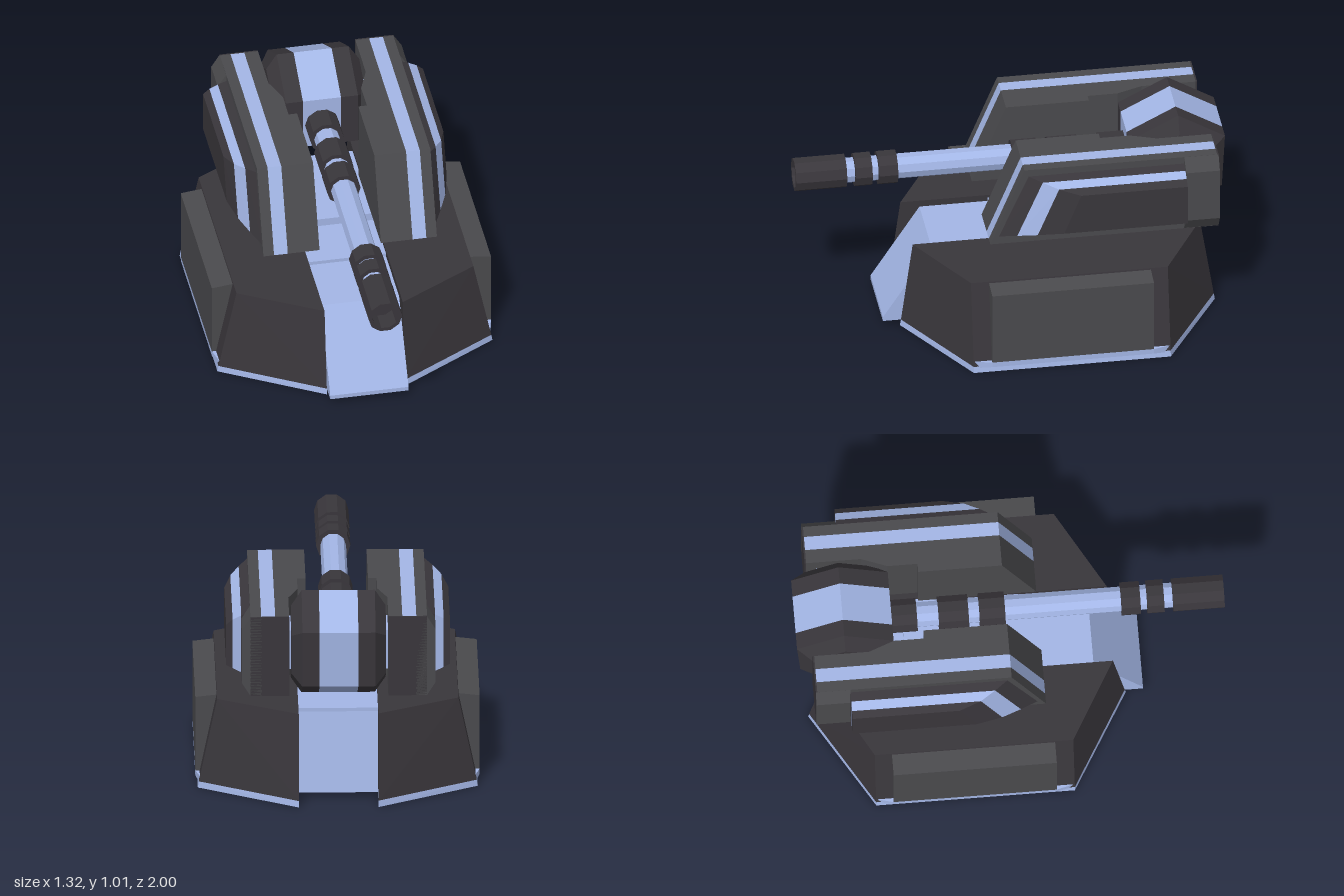
import * as THREE from 'three';
import { ConvexGeometry } from 'three/addons/geometries/ConvexGeometry.js';

const paint = (color) => new THREE.MeshStandardMaterial({ color, flatShading: true });

export function createModel() {
  const model = new THREE.Group();
  const dark = paint(0x39363b), grey = paint(0x4a4a4d), blue = paint(0xa3b6e6);

  const add = (parent, name, geometry, material) => {
    const mesh = new THREE.Mesh(geometry, material);
    mesh.name = name;
    parent.add(mesh);
    return mesh;
  };
  // Solid spanning a set of [x, y, z] corners
  const solid = (parent, name, points, material) =>
    add(parent, name, new ConvexGeometry(points.map((p) => new THREE.Vector3(...p))), material);
  // Side profile of [z, y] placed at a given x
  const at = (x, profile) => profile.map(([z, y]) => [x, y, z]);
  const slab = (parent, name, x0, x1, profile, material) =>
    solid(parent, name, [...at(x0, profile), ...at(x1, profile)], material);
  const box = (y0, y1, z0, z1) => [[z0, y0], [z0, y1], [z1, y1], [z1, y0]];

  // Central spine of the base: front ramp, deck step and turret pad
  const base = new THREE.Group();
  base.name = 'base';
  model.add(base);
  slab(base, 'spine', -0.185, 0.185,
    [[0.61, 0.03], [0.61, 0.05], [0.38, 0.405], [-0.76, 0.405], [-0.83, 0.03]], blue);
  slab(base, 'deckStep', -0.185, 0.185, box(0.38, 0.422, 0.06, -0.76), blue);
  slab(base, 'turretPad', -0.185, 0.185, box(0.4, 0.46, -0.21, -0.49), blue);

  // Outline of one half of the base at a given height
  const baseOutline = (s, y, x, front, back) => [
    [s * 0.185, y, front], [s * x, y, 0.255], [s * x, y, -0.67], [s * 0.185, y, back]];

  // Pod side profile, with the front edge slanting forward to the bottom
  const podProfile = (back) => [[-0.02, 0.935], [0.14, 0.545], [back, 0.545], [back, 0.935]];
  // Stepped outer cover: x, top y, bottom y, front z at top, front z at bottom
  const coverLevels = [
    [0.41, 0.9, 0.585, -0.04, 0.1],
    [0.45, 0.885, 0.605, -0.1, 0.02],
    [0.49, 0.865, 0.625, -0.17, -0.07],
    [0.52, 0.84, 0.64, -0.27, -0.19],
  ];

  for (const [side, s] of [['left', 1], ['right', -1]]) {
    // Armoured half of the base
    solid(base, side + 'BaseTrim',
      [...baseOutline(s, 0, 0.65, 0.53, -0.95), ...baseOutline(s, 0.03, 0.645, 0.525, -0.945)], blue);
    solid(base, side + 'BaseArmour',
      [...baseOutline(s, 0.03, 0.645, 0.525, -0.945), ...baseOutline(s, 0.437, 0.56, 0.47, -0.88)], dark);
    // Raised side plate with its trim
    solid(base, side + 'SidePlate', [
      ...at(s * 0.66, box(0.055, 0.418, 0.17, -0.59)),
      ...at(s * 0.555, box(0.055, 0.43, 0.17, -0.59))], grey);
    solid(base, side + 'SidePlateTrim', [
      ...at(s * 0.66, box(0.03, 0.055, 0.17, -0.59)),
      ...at(s * 0.64, box(0.02, 0.055, 0.25, -0.665))], blue);

    // Pod body in parallel slabs, the inner ones cut short around the drum
    const pod = new THREE.Group();
    pod.name = side + 'Pod';
    model.add(pod);
    slab(pod, 'innerStep', s * 0.145, s * 0.185, podProfile(-0.41), grey);
    solid(pod, 'innerTaper',
      [...at(s * 0.185, podProfile(-0.55)), ...at(s * 0.23, podProfile(-0.67))], grey);
    slab(pod, 'podBody', s * 0.23, s * 0.295, podProfile(-0.925), grey);
    slab(pod, 'podStripe', s * 0.295, s * 0.36, podProfile(-0.925), blue);
    slab(pod, 'podEdge', s * 0.36, s * 0.41, podProfile(-0.925), grey);

    // Back plate and flared rear block
    slab(pod, 'backPlate', s * 0.23, s * 0.41, box(0.545, 0.935, -0.925, -0.932), dark);
    solid(pod, 'rearBlock', [
      ...at(s * 0.36, box(0.546, 0.934, -0.77, -0.932)),
      ...at(s * 0.41, box(0.546, 0.934, -0.77, -0.932)),
      ...at(s * 0.45, box(0.61, 0.87, -0.775, -0.932))], grey);

    // Outer cover built as three stacked frustums
    const rings = coverLevels.map(([x, top, bottom, zTop, zBottom]) =>
      at(s * x, [[zTop, top], [zBottom, bottom], [-0.77, bottom], [-0.77, top]]));
    ['coverFoot', 'coverTrim', 'coverPanel'].forEach((name, i) =>
      solid(pod, name, [...rings[i], ...rings[i + 1]], i === 1 ? blue : dark));
  }

  // Hexagonal drum behind the gun
  const drum = new THREE.Group();
  drum.name = 'drum';
  model.add(drum);
  const hex = [[-0.78, 1.012], [-1, 0.88], [-0.985, 0.61], [-0.75, 0.497], [-0.55, 0.635], [-0.55, 0.895]];
  const smallHex = hex.map(([z, y]) => [-0.775 + (z + 0.775) * 0.7, 0.755 + (y - 0.755) * 0.7]);
  slab(drum, 'drumBand', -0.09, 0.09, hex, blue);
  slab(drum, 'drumAxle', -0.25, 0.25, box(0.66, 0.85, -0.68, -0.88), blue);
  for (const s of [1, -1]) {
    slab(drum, 'drumShoulder', s * 0.09, s * 0.17, hex, dark);
    solid(drum, 'drumChamfer', [...at(s * 0.17, hex), ...at(s * 0.22, smallHex)], dark);
  }

  // Ten-sided gun barrel with collars
  const gun = new THREE.Group();
  gun.name = 'gun';
  gun.position.y = 0.757;
  model.add(gun);
  const tube = (name, radius, z0, z1, material) => {
    const geometry = new THREE.CylinderGeometry(radius, radius, z1 - z0, 10, 1, false, Math.PI / 2);
    geometry.rotateX(Math.PI / 2).translate(0, 0, (z0 + z1) / 2);
    add(gun, name, geometry, material);
  };
  tube('barrel', 0.06, -0.6, 0.8, blue);
  for (const [z0, z1] of [[0.64, 0.72], [0.52, 0.61], [-0.14, -0.02], [-0.33, -0.19], [-0.56, -0.43]])
    tube('collar', 0.08, z0, z1, dark);

  // Hollow muzzle
  const muzzle = [[0, 0.76], [0.08, 0.76], [0.08, 1], [0.062, 1], [0.062, 0.9], [0, 0.9]]
    .map(([r, z]) => new THREE.Vector2(r, z));
  add(gun, 'muzzle', new THREE.LatheGeometry(muzzle, 10, Math.PI / 2).rotateX(Math.PI / 2), dark);

  return model;
}
